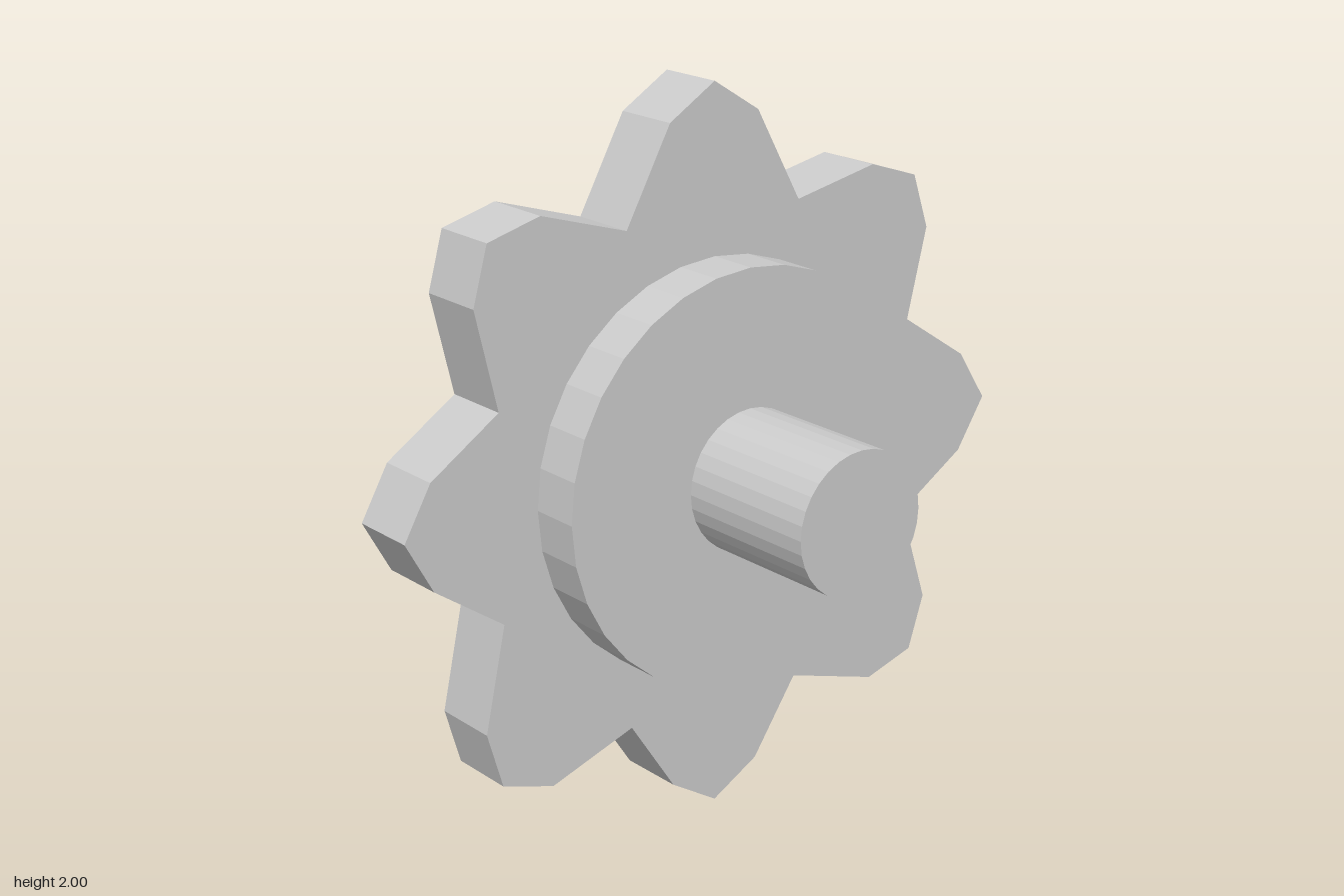
import * as THREE from 'three';

const AXIS_Y = 0.974;
const AXIS_Z = 0.01;
const material = new THREE.MeshStandardMaterial({ color: 0xcccccc, flatShading: true });

// Round part lying along x, from x0 to x1
function disc(name, radius, x0, x1) {
  const geometry = new THREE.CylinderGeometry(radius, radius, x1 - x0, 32);
  geometry.rotateZ(Math.PI / 2).translate((x0 + x1) / 2, 0, 0);
  const mesh = new THREE.Mesh(geometry, material);
  mesh.name = name;
  return mesh;
}

// Slightly uneven teeth, clockwise from the top: tip radius, shoulder radius, sideways shift
const TEETH = [
  [1.026, 0.936, 0], [0.977, 0.904, 0.005], [0.98, 0.89, 0], [1.01, 0.938, -0.004],
  [0.974, 0.889, 0], [1.007, 0.929, -0.022], [0.965, 0.885, 0], [1.001, 0.92, 0.009],
];
const SHOULDER_HALF_WIDTH = 0.143;
const VALLEY_RADIUS = 0.736;

function toothedWheel(x0, x1) {
  const points = [];
  TEETH.forEach(([tip, shoulder, shift], i) => {
    const angle = (i * Math.PI) / 4;
    const add = (out, across, a = angle) => points.push(new THREE.Vector2(
      out * Math.sin(a) + across * Math.cos(a),
      out * Math.cos(a) - across * Math.sin(a)));
    add(shoulder, shift - SHOULDER_HALF_WIDTH);
    add(tip, shift);
    add(shoulder, shift + SHOULDER_HALF_WIDTH);
    add(VALLEY_RADIUS, 0, angle + Math.PI / 8);
  });
  const geometry = new THREE.ExtrudeGeometry(new THREE.Shape(points), {
    depth: x1 - x0, bevelEnabled: false,
  });
  geometry.rotateY(Math.PI / 2).translate(x0, 0, 0);
  const mesh = new THREE.Mesh(geometry, material);
  mesh.name = 'toothedWheel';
  return mesh;
}

export function createModel() {
  const model = new THREE.Group();
  model.name = 'sprocket';
  model.add(
    toothedWheel(-0.18, 0.018),
    disc('hub', 0.57, -0.32, 0.165),
    disc('shaft', 0.195, -0.6, 0.6),
  );
  // Lift every part onto the common axle line
  model.children.forEach((part) => part.position.set(0, AXIS_Y, AXIS_Z));
  return model;
}
